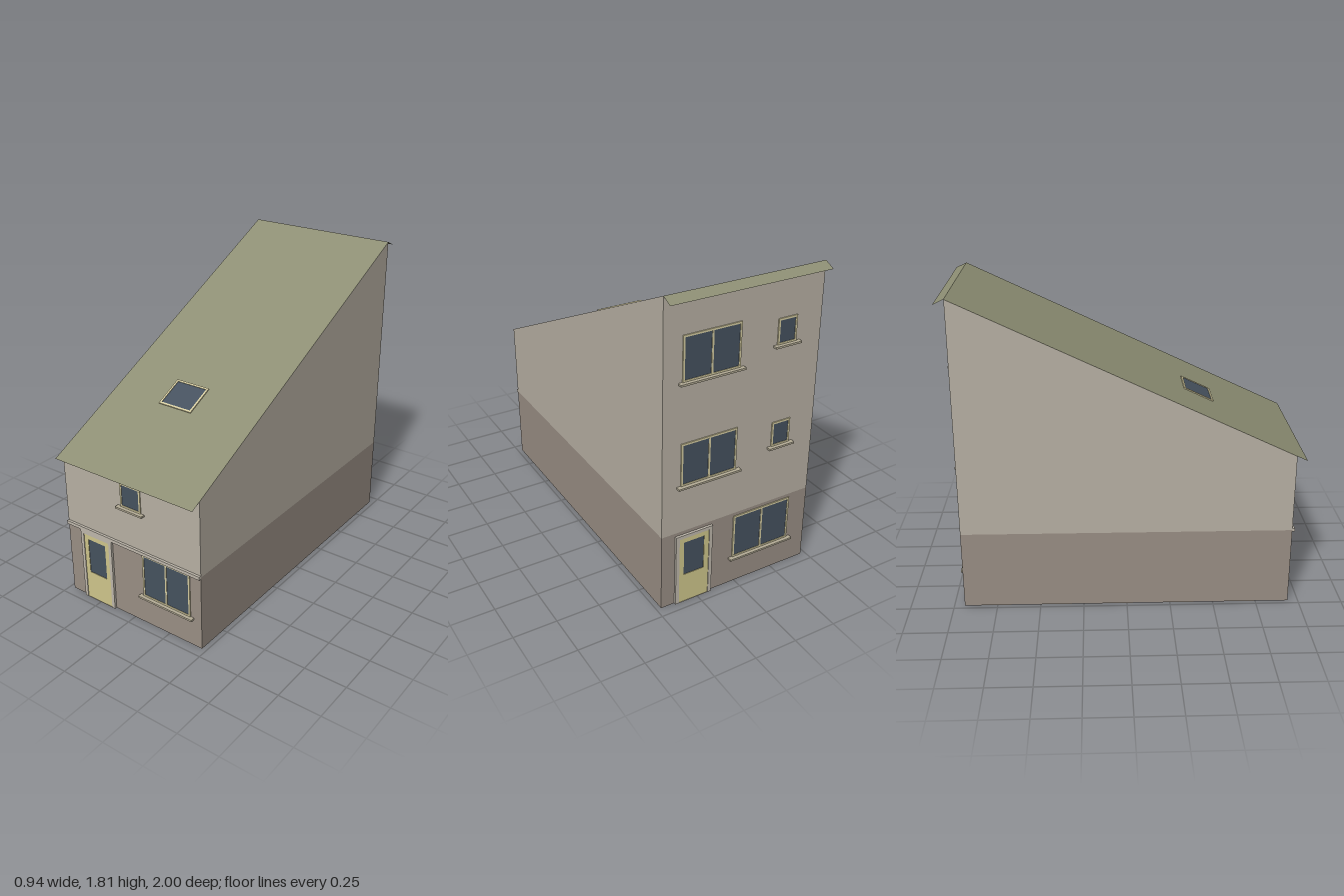
import * as THREE from 'three';

const W = 0.472, D = 0.94, PLINTH = 0.46, RIDGE = 1.81, SLOPE = 0.476;
const roofY = z => RIDGE - SLOPE * (z + D);

const mat = (color, side = THREE.FrontSide) => new THREE.MeshStandardMaterial({ color, side });
const M = {
  upper: mat(0xb8b1a4, THREE.DoubleSide),
  lower: mat(0x9a8f85, THREE.DoubleSide),
  roof: mat(0x8e8f74, THREE.DoubleSide),
  glass: mat(0x46525f),
  frame: mat(0xd4cba0),
  door: mat(0xd0c78c),
  surround: mat(0xbfb8ac),
  sill: mat(0xb4ac96),
};

function add(parent, name, geometry, material) {
  const mesh = new THREE.Mesh(geometry, material);
  mesh.name = name;
  parent.add(mesh);
  return mesh;
}

// Flat sheet from four corners, counter-clockwise seen from outside
function sheet(a, b, c, d) {
  const g = new THREE.BufferGeometry();
  g.setAttribute('position', new THREE.Float32BufferAttribute([a, b, c, a, c, d].flat(), 3));
  g.computeVertexNormals();
  return g;
}

// Box given by its limits in x and y, standing from z0 to z1
function slab(x0, x1, y0, y1, z0, z1) {
  return new THREE.BoxGeometry(x1 - x0, y1 - y0, z1 - z0)
    .translate((x0 + x1) / 2, (y0 + y1) / 2, (z0 + z1) / 2);
}

function rect(target, x0, x1, y0, y1) {
  target.moveTo(x0, y0).lineTo(x1, y0).lineTo(x1, y1).lineTo(x0, y1).closePath();
  return target;
}

// Window on the plane z = 0 facing +z: frame with holes, panes, optional sill
function windowUnit(name, x0, x1, y0, y1, panes = 1, sill = true, t = 0.011) {
  const g = new THREE.Group();
  g.name = name;
  const outline = rect(new THREE.Shape(), x0, x1, y0, y1);
  const step = (x1 - x0 - t) / panes;
  for (let i = 0; i < panes; i++) {
    const a = x0 + t + i * step, b = a + step - t;
    outline.holes.push(rect(new THREE.Path(), a, b, y0 + t, y1 - t));
    add(g, 'pane', slab(a, b, y0 + t, y1 - t, 0, 0.003), M.glass);
  }
  add(g, 'frame', new THREE.ExtrudeGeometry(outline, { depth: 0.006, bevelEnabled: false }), M.frame);
  if (sill) add(g, 'sill', slab(x0 - 0.022, x1 + 0.022, y0 - 0.01, y0 + 0.001, 0, 0.026), M.sill);
  return g;
}

// Glazed door with a projecting surround, centred on x
function doorUnit(name, x, height) {
  const g = new THREE.Group();
  g.name = name;
  const w = 0.114, leaf = 0.093, top = height - 0.02;
  const surround = rect(new THREE.Shape(), x - w, x + w, 0, height);
  surround.holes.push(rect(new THREE.Path(), x - leaf, x + leaf, 0.0005, top));
  add(g, 'doorSurround', new THREE.ExtrudeGeometry(surround, { depth: 0.014, bevelEnabled: false }), M.surround);
  const panel = rect(new THREE.Shape(), x - leaf, x + leaf, 0, top);
  panel.holes.push(rect(new THREE.Path(), x - 0.063, x + 0.063, 0.18, height - 0.05));
  add(g, 'doorLeaf', new THREE.ExtrudeGeometry(panel, { depth: 0.01, bevelEnabled: false }), M.door);
  add(g, 'doorPane', slab(x - 0.063, x + 0.063, 0.18, height - 0.05, 0, 0.007), M.glass);
  return g;
}

export function createModel() {
  const house = new THREE.Group();
  house.name = 'house';

  // Walls: darker ground storey, lighter storeys under the sloping roof
  const corners = [[-W, D], [W, D], [W, -D], [-W, -D]];
  const names = ['front', 'left', 'back', 'right'];
  corners.forEach(([ax, az], i) => {
    const [bx, bz] = corners[(i + 1) % 4];
    add(house, names[i] + 'LowerWall',
      sheet([ax, 0, az], [bx, 0, bz], [bx, PLINTH, bz], [ax, PLINTH, az]), M.lower);
    add(house, names[i] + 'UpperWall',
      sheet([ax, PLINTH, az], [bx, PLINTH, bz], [bx, roofY(bz), bz], [ax, roofY(az), az]), M.upper);
  });

  // Roof: long front slope and short rear eave
  add(house, 'frontRoof',
    sheet([-W, roofY(1), 1], [W, roofY(1), 1], [W, RIDGE, -D], [-W, RIDGE, -D]), M.roof);
  const eaveY = RIDGE - SLOPE * (1 - D);
  add(house, 'rearRoof',
    sheet([W, eaveY, -1], [-W, eaveY, -1], [-W, RIDGE, -D], [W, RIDGE, -D]), M.roof);

  // Front: door, windows and string course
  const front = new THREE.Group();
  front.name = 'frontFittings';
  front.position.z = D;
  front.add(
    doorUnit('frontDoor', -0.255, 0.45),
    windowUnit('frontWindow', 0.075, 0.4, 0.18, 0.45, 2),
    windowUnit('frontUpperWindow', -0.06, 0.08, 0.704, 0.85),
  );
  add(front, 'stringCourse', slab(-W, W, 0.45, 0.47, 0, 0.014), M.surround);
  house.add(front);

  // Back: turned round, so its x runs the other way
  const back = new THREE.Group();
  back.name = 'backFittings';
  back.position.z = -D;
  back.rotation.y = Math.PI;
  back.add(
    doorUnit('backDoor', -0.276, 0.44),
    windowUnit('backWindow', -0.022, 0.35, 0.17, 0.44, 2),
  );
  for (const y of [0.745, 1.34]) {
    back.add(
      windowUnit('backLargeWindow', -0.363, -0.025, y, y + 0.25, 2),
      windowUnit('backSmallWindow', 0.198, 0.315, y + 0.067, y + 0.212),
    );
  }
  house.add(back);

  // Skylight lying on the front slope
  const skylight = windowUnit('skylight', -0.11, 0.11, -0.094, 0.094, 1, false, 0.012);
  skylight.position.set(-0.03, roofY(0.42), 0.42);
  skylight.rotation.x = Math.atan(SLOPE) - Math.PI / 2;
  house.add(skylight);

  return house;
}
